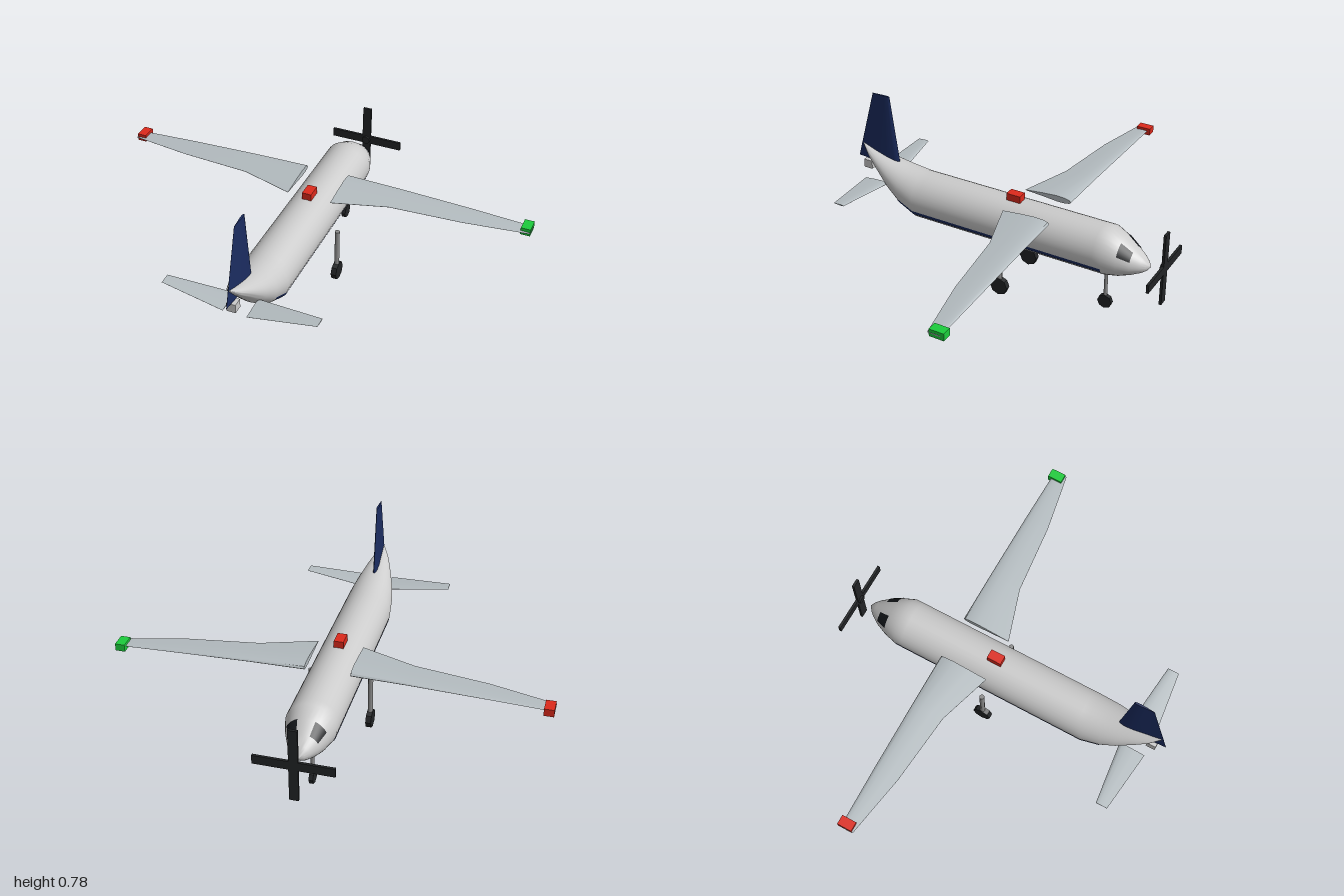
import * as THREE from 'three';
import { toCreasedNormals } from 'three/addons/utils/BufferGeometryUtils.js';

const paint = (color, extra = {}) => new THREE.MeshStandardMaterial({ color, ...extra });
const white = paint(0xf0f0f0), grey = paint(0xb4bcc0), navy = paint(0x1b2c60, { side: THREE.DoubleSide });
const dark = paint(0x222426), darkFlat = paint(0x222426, { flatShading: true });
const glass = paint(0x15181c, { side: THREE.DoubleSide });
const red = paint(0xdd2a1c), green = paint(0x1ccc3c), metal = paint(0x8c8c8c), lamp = paint(0xcccccc);

// Fuselage stations from nose to tail: z, centre y, half width, half height
const STATIONS = [
  [-0.735, 0.292, 0.002, 0.002], [-0.72, 0.292, 0.025, 0.022], [-0.70, 0.294, 0.043, 0.038],
  [-0.66, 0.299, 0.070, 0.062], [-0.605, 0.309, 0.095, 0.093], [-0.54, 0.32, 0.115, 0.115],
  [-0.50, 0.32, 0.115, 0.115], [0.40, 0.32, 0.115, 0.115], [0.44, 0.32, 0.115, 0.115],
  [0.53, 0.349, 0.104, 0.098], [0.60, 0.385, 0.086, 0.075], [0.68, 0.437, 0.056, 0.042],
  [0.73, 0.469, 0.034, 0.023], [0.775, 0.503, 0.004, 0.003],
];

// Skin a row of rings; closed rings also get end caps
function loft(rings, closed = true) {
  const n = rings[0].length, last = (rings.length - 1) * n, index = [];
  for (let i = 0; i < rings.length - 1; i++) {
    for (let j = 0; j < (closed ? n : n - 1); j++) {
      const a = i * n + j, b = i * n + (j + 1) % n;
      index.push(a, a + n, b, b, a + n, b + n);
    }
  }
  if (closed) {
    for (let j = 1; j < n - 1; j++) index.push(0, j, j + 1, last, last + j + 1, last + j);
  }
  const geo = new THREE.BufferGeometry();
  geo.setAttribute('position', new THREE.Float32BufferAttribute(rings.flat(2), 3));
  geo.setIndex(index);
  return toCreasedNormals(geo, 0.6);
}

// Arc of the fuselage section, angle measured from the top towards +x
function arc([z, cy, rx, ry], from, to, count, lift = 0) {
  return Array.from({ length: count }, (_, k) => {
    const a = from + (to - from) * k / (count - 1);
    return [(rx + lift) * Math.sin(a), cy + (ry + lift) * Math.cos(a), z];
  });
}

// Panel lying just over the fuselage skin
function skinPanel(z0, z1, from, to) {
  const rows = STATIONS.filter(s => s[0] >= z0 && s[0] <= z1);
  return loft(rows.map(s => arc(s, from, to, 7, 0.002)), false);
}

// Aerofoil outline: position along chord, offset in thicknesses
const FOIL = [[0, 0], [0.03, 0.25], [0.12, 0.42], [0.3, 0.5], [0.62, 0.32], [1, 0.02],
  [1, -0.02], [0.6, -0.2], [0.3, -0.38], [0.12, -0.36], [0.03, -0.2]];

// Wing-like surface from sections: x, leading z, trailing z, y, thickness
function wing(sections, side) {
  return loft(sections.map(([x, z0, z1, y, t]) => {
    const ring = FOIL.map(([u, v]) => [side * x, y + v * t, z0 + (z1 - z0) * u]);
    return side > 0 ? ring.reverse() : ring;
  }));
}

export function createModel() {
  const model = new THREE.Group();
  const add = (name, geo, mat, x = 0, y = 0, z = 0) => {
    const mesh = new THREE.Mesh(geo, mat);
    mesh.name = name;
    mesh.position.set(x, y, z);
    model.add(mesh);
    return mesh;
  };
  const box = (w, h, d) => new THREE.BoxGeometry(w, h, d);
  const rad = THREE.MathUtils.degToRad;

  // Body
  add('fuselage', loft(STATIONS.map(s => arc(s, 0, Math.PI * 2, 33).slice(0, 32))), white);

  // Paired parts
  for (const side of [1, -1]) {
    const label = side > 0 ? 'left' : 'right';
    add(label + 'Stripe', skinPanel(-0.54, 0.53, side * rad(111), side * rad(124)), navy);
    add(label + 'CockpitWindow', skinPanel(-0.66, -0.605, side * rad(24), side * rad(65)), glass);

    add(label + 'Wing', wing([
      [0.105, -0.285, -0.05, 0.428, 0.034], [0.36, -0.285, -0.13, 0.424, 0.022],
      [0.7, -0.285, -0.165, 0.413, 0.014], [0.998, -0.282, -0.22, 0.4, 0.006],
    ], side), grey);
    add(label + 'Tailplane', wing([
      [0.055, 0.61, 0.735, 0.35, 0.016], [0.36, 0.645, 0.70, 0.376, 0.006],
    ], side), grey);
    add(label + 'WingtipLight', box(0.045, 0.035, 0.07), side > 0 ? green : red, side * 0.974, 0.4, -0.262);

    // Main landing gear
    add(label + 'MainStrut', new THREE.CylinderGeometry(0.012, 0.012, 0.225, 8), metal, side * 0.142, 0.16, -0.055);
    add(label + 'MainWheel', new THREE.CylinderGeometry(0.044, 0.044, 0.026, 8), darkFlat, side * 0.142, 0.046, -0.055)
      .rotation.set(0, 0, Math.PI / 2);
  }

  // Tail fin: y, leading z, trailing z, thickness
  const finSections = [[0.43, 0.567, 0.805, 0.022], [0.785, 0.613, 0.706, 0.01]];
  add('tailFin', loft(finSections.map(([y, z0, z1, t]) =>
    FOIL.map(([u, v]) => [(v > 0 ? v : v * 1.3) * t, y, z0 + (z1 - z0) * u]))), navy);

  // Lights on the body
  add('tailLight', box(0.042, 0.042, 0.045), lamp, 0, 0.405, 0.742);
  add('beacon', box(0.045, 0.035, 0.07), red, 0, 0.45, -0.057);

  // Nose gear
  add('noseStrut', new THREE.CylinderGeometry(0.009, 0.009, 0.18, 8), metal, 0, 0.13, -0.525);
  add('noseWheel', new THREE.CylinderGeometry(0.035, 0.035, 0.02, 8), darkFlat, 0, 0.038, -0.525)
    .rotation.set(0, 0, Math.PI / 2);

  // Propeller
  add('verticalBlade', box(0.042, 0.36, 0.012), dark, 0, 0.304, -0.798);
  add('horizontalBlade', box(0.36, 0.042, 0.012), dark, 0, 0.304, -0.798);
  add('propellerHub', new THREE.CylinderGeometry(0.02, 0.02, 0.016, 12), dark, 0, 0.304, -0.79)
    .rotation.set(Math.PI / 2, 0, 0);

  return model;
}
